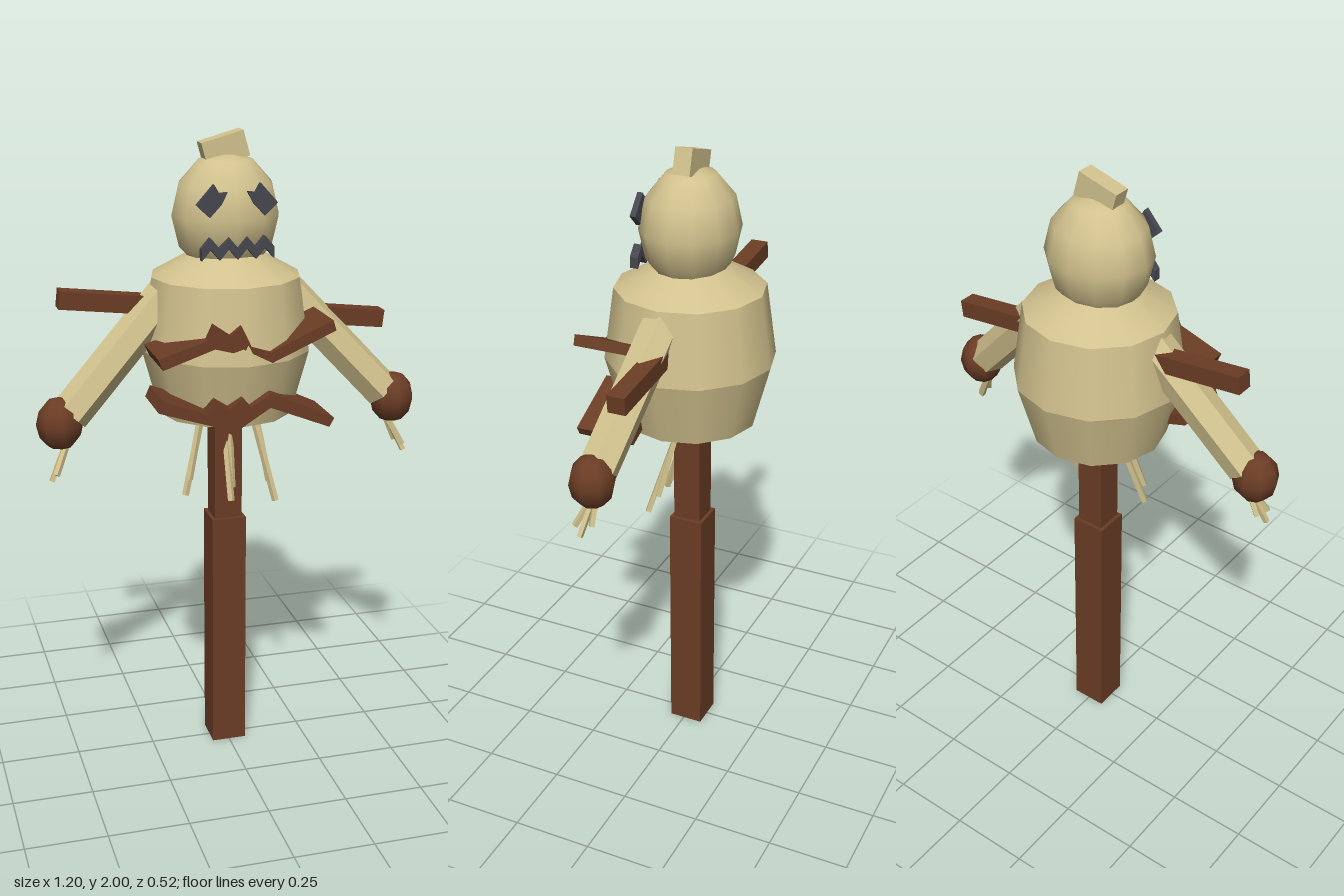
import * as THREE from 'three';

const burlap = new THREE.MeshStandardMaterial({ name: 'burlap', color: 0xd2c28e });
const burlapFlat = new THREE.MeshStandardMaterial({ name: 'straw', color: 0xd2c28e, flatShading: true });
const wood = new THREE.MeshStandardMaterial({ name: 'brownWood', color: 0x6b3d25 });
const dark = new THREE.MeshStandardMaterial({ name: 'darkGrey', color: 0x46464f });

export function createModel() {
  const model = new THREE.Group();
  model.name = 'scarecrow';

  function add(name, geometry, material, x = 0, y = 0, z = 0, rotZ = 0) {
    const mesh = new THREE.Mesh(geometry, material);
    mesh.name = name;
    mesh.position.set(x, y, z);
    mesh.rotation.z = rotZ;
    model.add(mesh);
    return mesh;
  }

  // Prism running between two points
  function rod(name, from, to, radius, sides, material) {
    const a = new THREE.Vector3(...from), b = new THREE.Vector3(...to);
    const dir = b.clone().sub(a);
    const mesh = add(name, new THREE.CylinderGeometry(radius, radius, dir.length(), sides), material);
    mesh.position.copy(a).add(b).multiplyScalar(0.5);
    mesh.quaternion.setFromUnitVectors(new THREE.Vector3(0, 1, 0), dir.normalize());
  }

  // Outline pushed from z0 to z1
  function plate(name, points, z0, z1, material) {
    const shape = new THREE.Shape(points.map(([x, y]) => new THREE.Vector2(x, y)));
    add(name, new THREE.ExtrudeGeometry(shape, { depth: z1 - z0, bevelEnabled: false }), material, 0, 0, z0);
  }

  // Post and tilted crossbar
  add('lowerPost', new THREE.BoxGeometry(0.11, 0.79, 0.11), wood, 0, 0.395, -0.007);
  add('upperPost', new THREE.BoxGeometry(0.088, 0.5, 0.088), wood, 0, 1.0, -0.007);
  add('crossbar', new THREE.BoxGeometry(1.03, 0.055, 0.056), wood, 0, 1.46, -0.012, -0.117);

  // Sack body: stacked twelve-sided bands with hard rings between them
  const rings = [[0.001, 1.09], [0.208, 1.145], [0.262, 1.345], [0.23, 1.57], [0.11, 1.637]];
  for (let i = 0; i < rings.length - 1; i++) {
    const [r0, y0] = rings[i], [r1, y1] = rings[i + 1];
    add('bodyBand' + i, new THREE.CylinderGeometry(r1, r0, y1 - y0, 12, 1, true), burlap, 0, (y0 + y1) / 2, 0);
  }

  // Head and the knot on top
  const head = add('head', new THREE.SphereGeometry(1, 12, 6), burlap, 0, 1.752, 0);
  head.scale.set(0.166, 0.185, 0.15);
  add('headKnot', new THREE.BoxGeometry(0.133, 0.078, 0.054), burlap, -0.005, 1.943, -0.002, 0.27);

  // Eyes
  const eye = [[0.122, 1.8], [0.07, 1.858], [0.055, 1.832], [0.03, 1.835], [0.048, 1.8], [0.083, 1.763]];
  for (const s of [-1, 1]) {
    plate(s > 0 ? 'leftEye' : 'rightEye', eye.map(([x, y]) => [x * s, y]), 0.118, 0.136, dark);
  }

  // Zigzag mouth
  const top = [], bottom = [];
  for (let i = 0; i <= 8; i++) {
    const x = -0.11 + i * 0.0275;
    const y = i % 2 ? 1.705 : 1.673;
    top.push([x, y]);
    bottom.unshift([x, y - 0.034]);
  }
  plate('mouth', [...top, ...bottom], 0.118, 0.144, dark);

  // Jagged boards across the chest and waist
  plate('upperBoard', [
    [-0.27, 1.385], [-0.12, 1.43], [-0.1, 1.472], [-0.053, 1.44], [-0.021, 1.467], [0.01, 1.403],
    [0.07, 1.382], [0.26, 1.467], [0.27, 1.435], [0.074, 1.35], [-0.015, 1.397], [-0.045, 1.388],
    [-0.1, 1.403], [-0.255, 1.35]], 0.07, 0.253, wood);
  plate('lowerBoard', [
    [-0.255, 1.257], [-0.12, 1.207], [-0.095, 1.245], [-0.053, 1.218], [-0.015, 1.25], [0.01, 1.22],
    [0.074, 1.257], [0.27, 1.165], [0.255, 1.138], [0.07, 1.213], [0, 1.17], [-0.048, 1.138],
    [-0.1, 1.167], [-0.27, 1.223]], 0.07, 0.253, wood);

  // Arms, hands and straw fingers
  for (const s of [-1, 1]) {
    const side = s > 0 ? 'left' : 'right';
    rod(side + 'Arm', [s * 0.17, 1.535, 0], [s * 0.5, 1.18, 0.057], 0.06, 6, burlapFlat);
    const hand = add(side + 'Hand', new THREE.SphereGeometry(1, 8, 6), wood, s * 0.53, 1.157, 0.06);
    hand.scale.set(0.072, 0.082, 0.07);
    const tips = [[0.565, 0.985, 0.088], [0.545, 1.015, 0.06], [0.553, 1.01, 0.11]];
    tips.forEach((tip, i) => rod(side + 'Finger' + i, [s * 0.5, 1.12, 0.06],
      [s * tip[0], tip[1], tip[2]], 0.01, 4, burlapFlat));
  }

  // Straw hanging below the sack
  const straws = [
    [[-0.075, 1.13, 0.0], [-0.143, 0.885, 0.05]],
    [[-0.085, 1.13, 0.02], [-0.132, 0.94, 0.06]],
    [[0.085, 1.13, 0.0], [0.142, 0.85, 0.08]],
    [[0.095, 1.13, 0.0], [0.13, 0.905, 0.05]],
    [[-0.006, 1.13, 0.0], [-0.004, 0.865, 0.085]],
    [[0.006, 1.13, 0.02], [0.006, 0.9, 0.06]],
  ];
  straws.forEach(([a, b], i) => rod('straw' + i, a, b, 0.011, 4, burlapFlat));

  return model;
}
